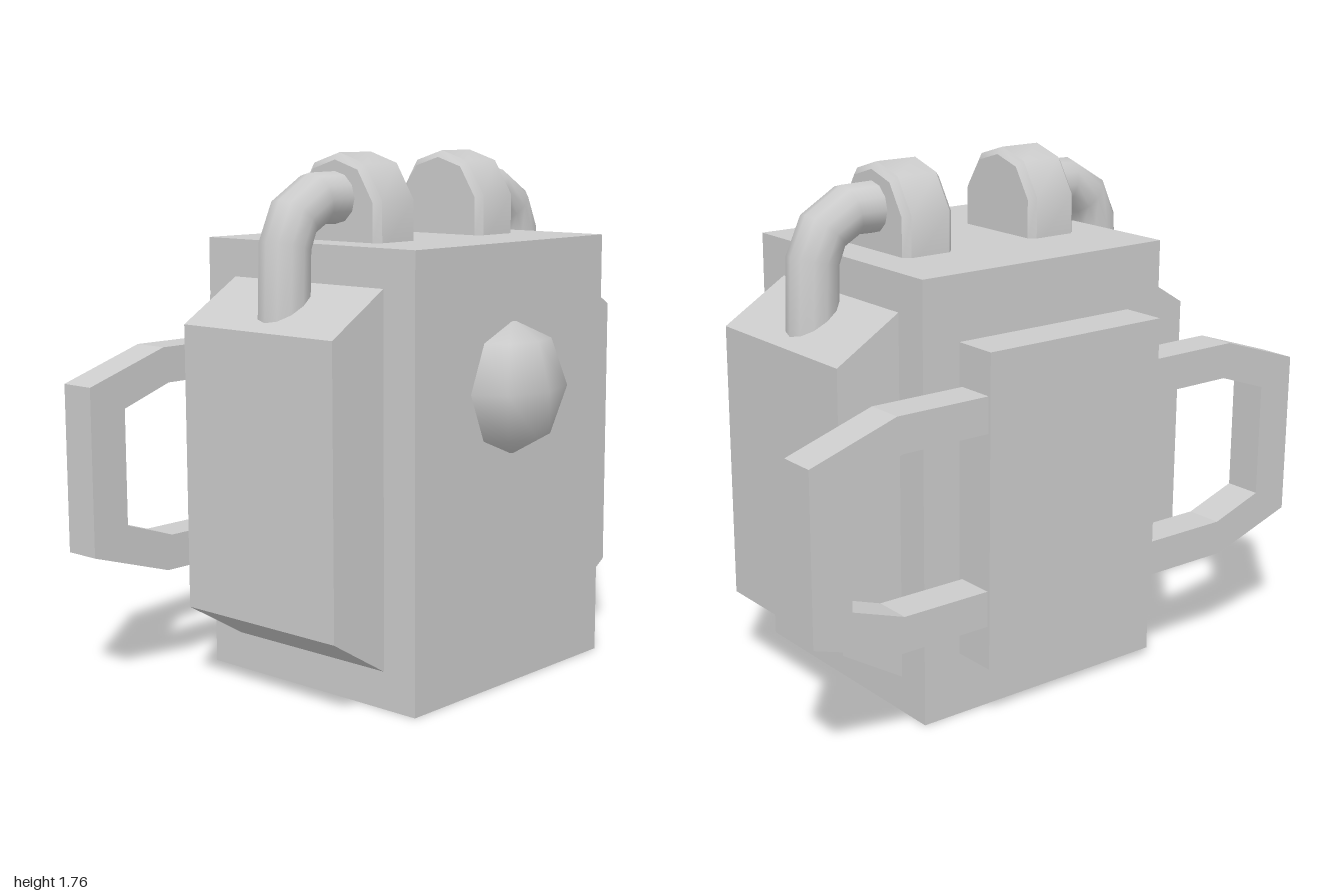
import * as THREE from 'three';
import { toCreasedNormals } from 'three/addons/utils/BufferGeometryUtils.js';

const material = new THREE.MeshStandardMaterial({ color: 0xcccccc });

function addPart(group, name, geometry, x = 0, y = 0, z = 0) {
  const mesh = new THREE.Mesh(geometry, material);
  mesh.name = name;
  mesh.position.set(x, y, z);
  group.add(mesh);
  return mesh;
}

const toPoints = (pairs, s = 1) => pairs.map(([x, y]) => new THREE.Vector2(x * s, y));

// Flat plate cut from an outline in the xy plane
function plate(pairs, side, depth) {
  return new THREE.ExtrudeGeometry(new THREE.Shape(toPoints(pairs, side)), { depth, bevelEnabled: false });
}

// Round-topped bracket with a thin chamfer, extruded along x
function bracketGeometry() {
  const outline = [[-0.185, 1.44], [0.185, 1.44], [0.185, 1.61], [0.113, 1.725],
    [0, 1.76], [-0.113, 1.725], [-0.185, 1.61]];
  const bevel = 0.022, width = 0.195;
  const geometry = new THREE.ExtrudeGeometry(new THREE.Shape(toPoints(outline)), {
    depth: width - 2 * bevel, bevelEnabled: true, bevelSegments: 1,
    bevelSize: bevel, bevelThickness: bevel, bevelOffset: -bevel,
  });
  geometry.translate(0, 0, bevel - width / 2);
  geometry.rotateY(Math.PI / 2);
  return toCreasedNormals(geometry, 0.75);
}

// Bent pipe with one ring at each path point
function pipeGeometry(side) {
  const pairs = [[0.3, 1.615], [0.45, 1.615], [0.545, 1.56], [0.585, 1.47], [0.596, 1.15]];
  const path = new THREE.CatmullRomCurve3(pairs.map(([x, y]) => new THREE.Vector3(x * side, y, 0)));
  path.getPointAt = (t, target) => path.getPoint(t, target);
  path.getTangentAt = (t, target) => path.getTangent(t, target);
  return new THREE.TubeGeometry(path, pairs.length - 1, 0.086, 12);
}

export function createModel() {
  const model = new THREE.Group();
  model.name = 'backpack';

  addPart(model, 'body', new THREE.BoxGeometry(0.98, 1.475, 0.915), 0, 0.7375, 0.0025);
  addPart(model, 'backPlate', new THREE.BoxGeometry(0.7, 1.045, 0.165), 0, 0.7375, -0.5275);

  // Flattened low-sided knob on the front
  const knob = addPart(model, 'frontKnob', new THREE.SphereGeometry(0.225, 8, 4), 0, 1, 0.45);
  knob.scale.z = 0.7;

  const podOutline = [[0.47, 0.113], [0.72, 0.265], [0.72, 1.21], [0.47, 1.362]];
  const handleOutline = [[0.33, 1.12], [0.69, 1.12], [1, 1.02], [1, 0.46], [0.69, 0.36], [0.33, 0.36],
    [0.33, 0.48], [0.67, 0.48], [0.86, 0.545], [0.86, 0.935], [0.67, 1], [0.33, 1]];

  for (const [label, side] of [['left', 1], ['right', -1]]) {
    addPart(model, label + 'SidePod', plate(podOutline, side, 0.66), 0, 0, -0.33);
    addPart(model, label + 'Handle', plate(handleOutline, side, 0.13), 0, 0, -0.6);
    addPart(model, label + 'Bracket', bracketGeometry(), side * 0.2575, 0, 0);
    addPart(model, label + 'Pipe', pipeGeometry(side));
  }
  return model;
}
